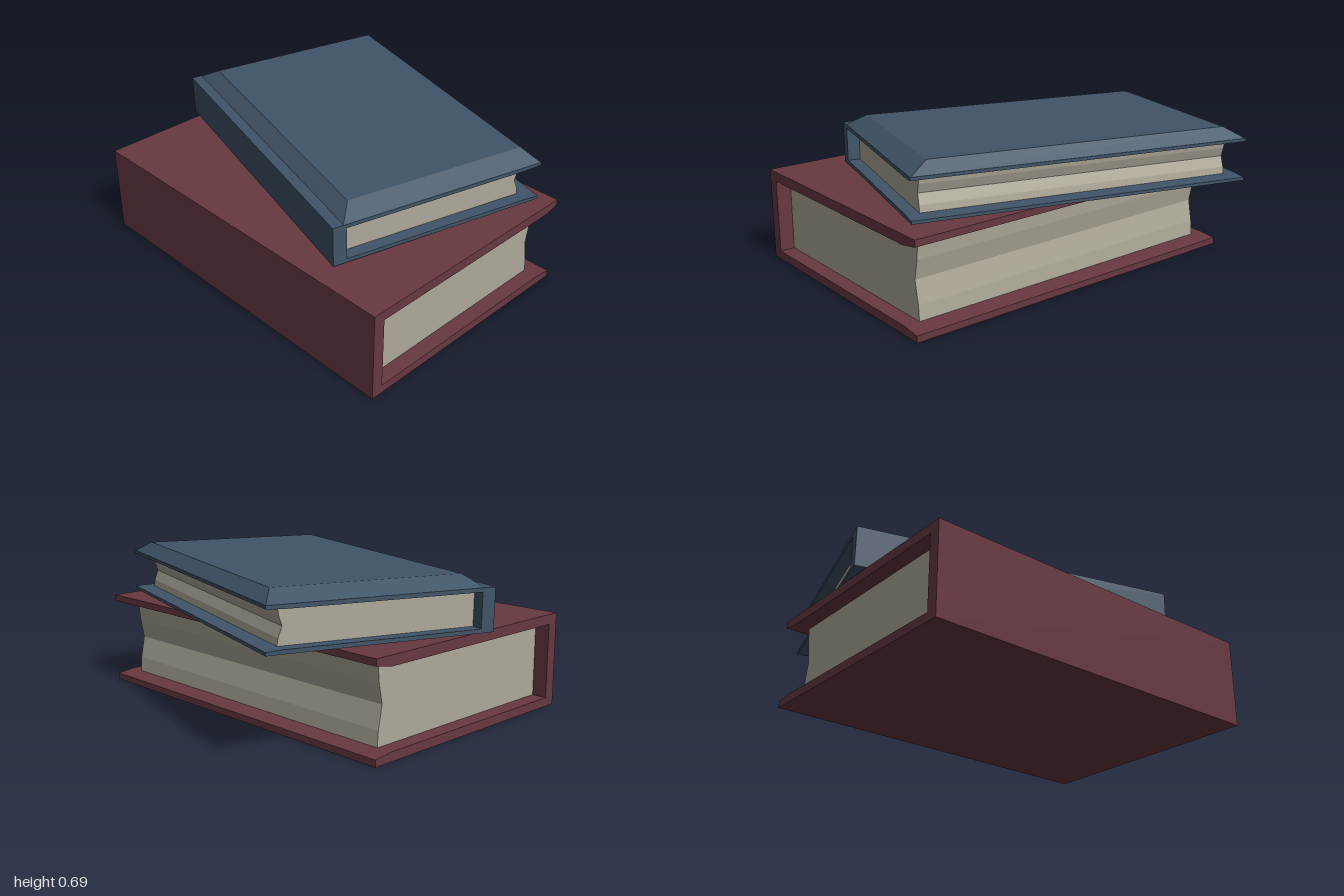
import * as THREE from 'three';

const mat = (name, color) => {
  const m = new THREE.MeshStandardMaterial({ color });
  m.name = name;
  return m;
};

// Closed xy profile pushed along z and centred on z = 0
function prism(points, length) {
  const shape = new THREE.Shape(points.map(([x, y]) => new THREE.Vector2(x, y)));
  const geo = new THREE.ExtrudeGeometry(shape, { depth: length, bevelEnabled: false });
  return geo.translate(0, 0, -length / 2);
}

function addMesh(group, name, geo, material) {
  const mesh = new THREE.Mesh(geo, material);
  mesh.name = name;
  group.add(mesh);
}

// Book with a C-shaped cover (spine at -x) and a hollowed fore edge
function makeBook(name, b, coverMat, paperMat) {
  const book = new THREE.Group();
  book.name = name;
  const { half, height, length, spineX, pageX, pageLength, low, high, tip, hollow } = b;
  const cover = [
    [-half, 0], [half, 0], [half, tip], [pageX, low], [spineX, low],
    [spineX, high], [pageX, high], [half, height - tip], [half, height], [-half, height],
  ];
  addMesh(book, 'cover', prism(cover, length), coverMat);

  const at = (t) => low + (high - low) * t;
  const pages = [
    [spineX, low], [pageX, low], [pageX - hollow * 0.2, at(0.2)], [pageX - hollow, at(0.5)],
    [pageX - hollow * 0.3, at(0.76)], [pageX, high], [spineX, high],
  ];
  addMesh(book, 'pages', prism(pages, pageLength), paperMat);
  return book;
}

// Padded board: a slab whose upper face is smaller than its base
function bevelledSlab(x0, x1, tx0, tx1, y0, y1, halfZ, topHalfZ) {
  const geo = new THREE.BoxGeometry(2, 2, 2);
  const p = geo.attributes.position;
  for (let i = 0; i < p.count; i++) {
    const top = p.getY(i) > 0, right = p.getX(i) > 0;
    p.setXYZ(i,
      right ? (top ? tx1 : x1) : (top ? tx0 : x0),
      top ? y1 : y0,
      Math.sign(p.getZ(i)) * (top ? topHalfZ : halfZ));
  }
  geo.computeVertexNormals();
  return geo;
}

export function createModel() {
  const model = new THREE.Group();
  model.name = 'stackedBooks';
  const red = mat('maroon cover', 0x673840);
  const blue = mat('slate blue cover', 0x405468);
  const paper = mat('paper', 0xaea999);

  // Thick lower book, turned on the table
  const lower = makeBook('lowerBook', {
    half: 0.59, height: 0.425, length: 1.74, spineX: -0.535, pageX: 0.505,
    pageLength: 1.6, low: 0.04, high: 0.38, tip: 0.03, hollow: 0.025,
  }, red, paper);
  lower.rotation.y = 0.284;
  model.add(lower);

  // Thinner upper book, tilted slightly
  const upper = makeBook('upperBook', {
    half: 0.513, height: 0.188, length: 1.514, spineX: -0.45, pageX: 0.44,
    pageLength: 1.4, low: 0.018, high: 0.17, tip: 0.014, hollow: 0.02,
  }, blue, paper);
  addMesh(upper, 'paddedTopBoard',
    bevelledSlab(-0.465, 0.513, -0.4, 0.46, 0.186, 0.237, 0.757, 0.672), blue);
  upper.rotation.z = 0.02;
  upper.position.set(0.198, 0.44, -0.107);
  model.add(upper);

  return model;
}
